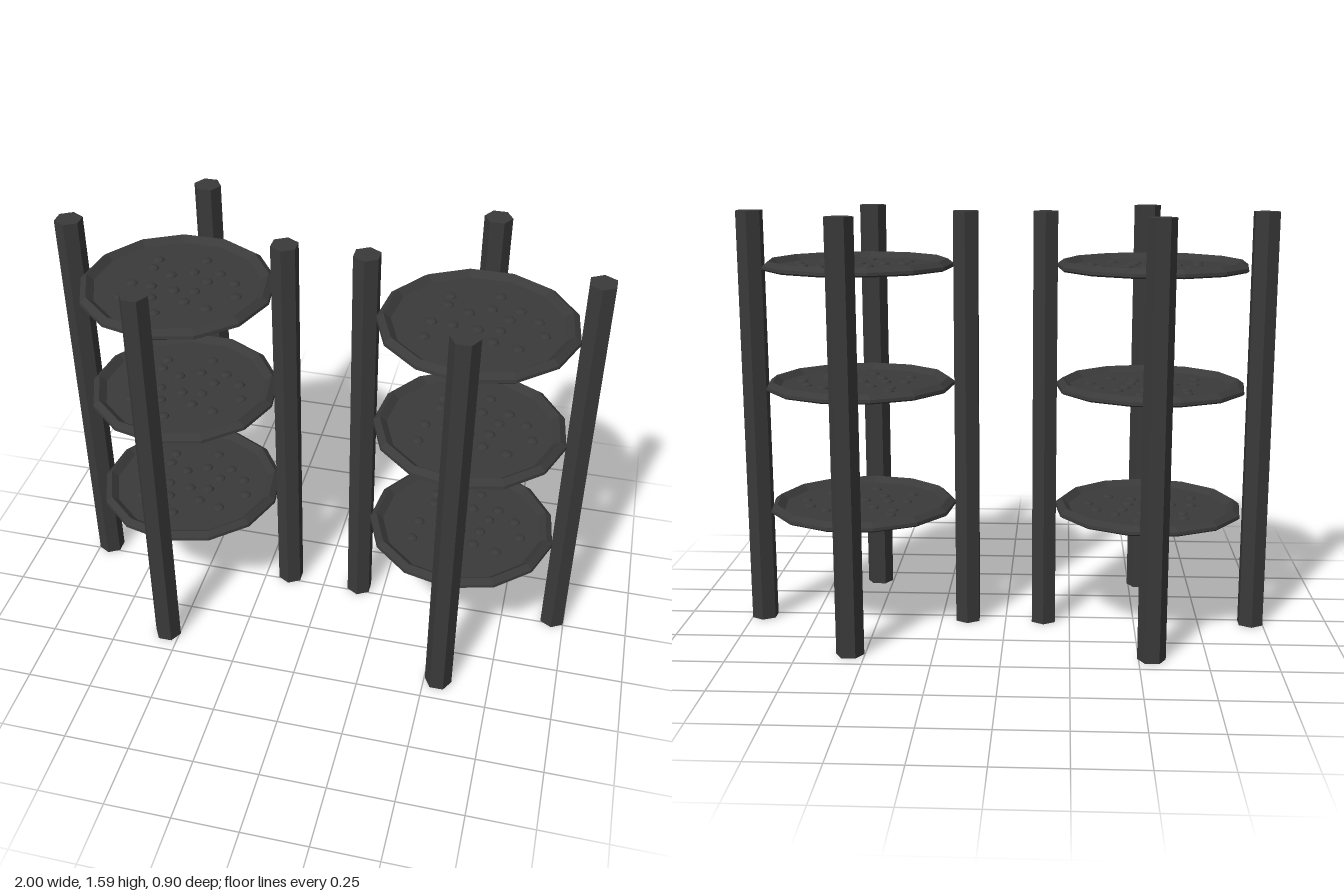
import * as THREE from 'three';

export function createModel() {
  const model = new THREE.Group();
  model.name = 'trayStands';
  const dark = new THREE.MeshStandardMaterial({ color: 0x3a3a3a, flatShading: true });

  const add = (parent, geometry, name, x, y, z) => {
    const mesh = new THREE.Mesh(geometry, dark);
    mesh.name = name;
    mesh.position.set(x, y, z);
    parent.add(mesh);
    return mesh;
  };

  // Hexagonal post
  const height = 1.59;
  const postGeo = new THREE.CylinderGeometry(0.052, 0.052, height, 6);

  // Shallow 13-sided tray: outer wall, bevelled rim, sunken floor
  const trayGeo = new THREE.LatheGeometry([
    [0, 0], [0.352, 0], [0.36, 0.006], [0.358, 0.017], [0.335, 0.034], [0.308, 0.012], [0, 0.01],
  ].map(([r, y]) => new THREE.Vector2(r, y)), 13);

  // Low round studs scattered over the tray floor
  const studGeo = new THREE.SphereGeometry(0.023, 10, 6).scale(1, 0.5, 1);
  const studs = [
    [0.05, -0.19], [-0.125, -0.155], [-0.125, -0.095], [0.03, -0.1], [0.13, -0.11], [-0.045, -0.06],
    [0.1, -0.045], [0.2, -0.055], [-0.165, 0.025], [-0.09, 0.03], [0, 0.04], [0.075, 0.03],
    [0.23, 0.03], [-0.175, 0.125], [-0.065, 0.105], [0.06, 0.105], [0.15, 0.13], [-0.02, 0.2],
  ];

  for (const [name, x] of [['rightStand', -0.551], ['leftStand', 0.551]]) {
    const stand = new THREE.Group();
    stand.name = name;
    stand.position.x = x;
    model.add(stand);

    // Side posts point along z, front and back posts along x
    for (const s of [-1, 1]) {
      add(stand, postGeo, s < 0 ? 'rightPost' : 'leftPost', s * 0.403, height / 2, -0.03);
      add(stand, postGeo, s < 0 ? 'backPost' : 'frontPost', 0.004, height / 2, s * 0.405)
        .rotation.y = Math.PI / 6;
    }

    // Three studded trays
    for (const y of [0.447, 0.923, 1.375]) {
      const tray = new THREE.Group();
      tray.name = 'tray';
      tray.position.set(0.004, y, -0.002);
      stand.add(tray);
      add(tray, trayGeo, 'trayDish', 0, 0, 0);
      for (const [sx, sz] of studs) add(tray, studGeo, 'stud', sx, 0.01, sz);
    }
  }
  return model;
}
